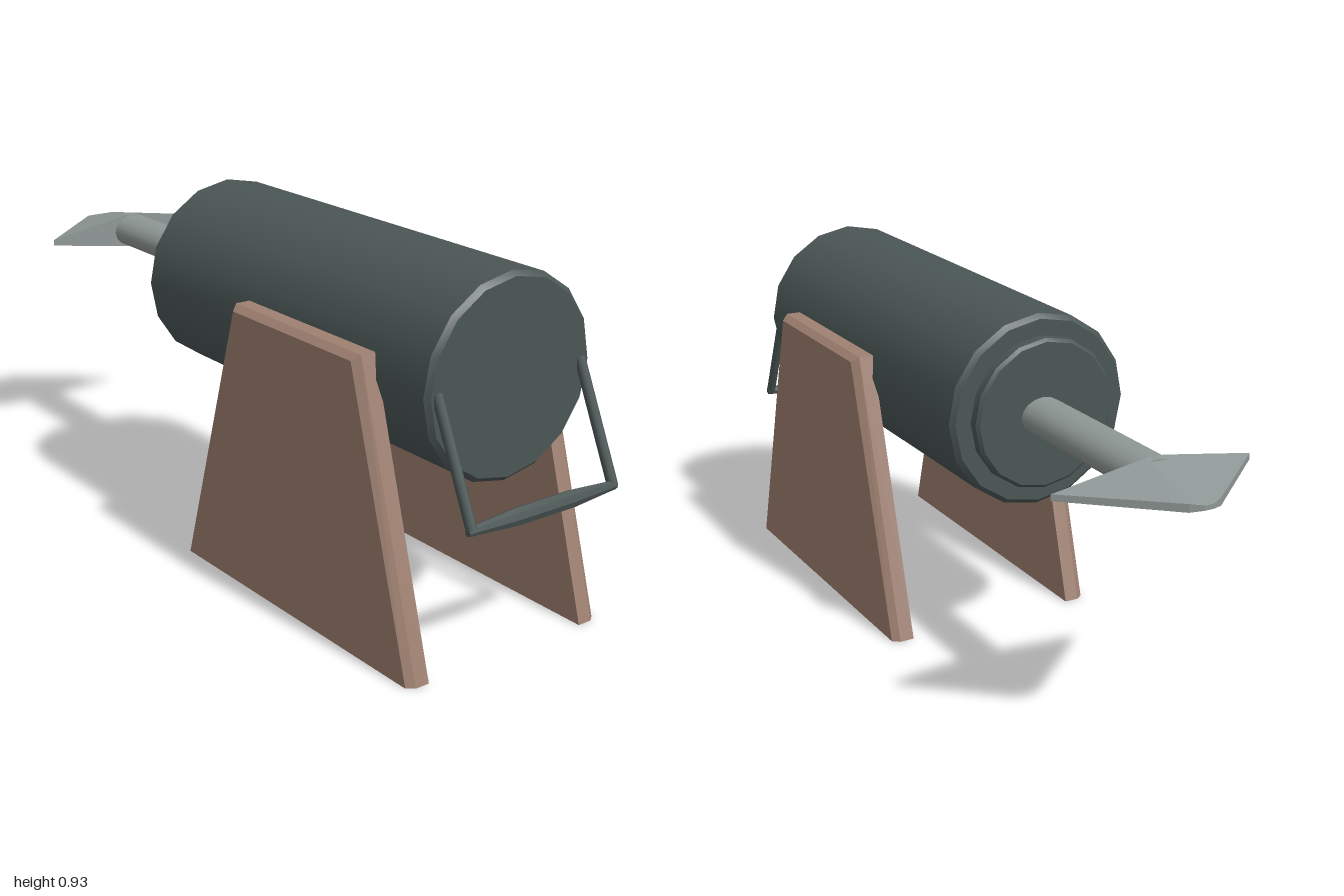
import * as THREE from 'three';
import { toCreasedNormals } from 'three/addons/utils/BufferGeometryUtils.js';
import { ConvexGeometry } from 'three/addons/geometries/ConvexGeometry.js';

const AXIS_Y = 0.677;

export function createModel() {
  const model = new THREE.Group();
  model.name = 'harpoonCannon';

  const material = (name, color) => {
    const m = new THREE.MeshStandardMaterial({ color });
    m.name = name;
    return m;
  };
  const darkIron = material('darkIron', 0x4a5655);
  const steel = material('steel', 0x8f9896);
  const wood = material('wood', 0x9e8071);

  const add = (name, geometry, mat, parent = model) => {
    const mesh = new THREE.Mesh(geometry, mat);
    mesh.name = name;
    parent.add(mesh);
    return mesh;
  };
  const hull = (points) => new ConvexGeometry(points.map((p) => new THREE.Vector3(...p)));
  // Turned part from [radius, position along its axis] pairs
  const turned = (profile, sides) => toCreasedNormals(
    new THREE.LatheGeometry(profile.map((p) => new THREE.Vector2(...p)), sides), 0.6);

  // Barrel with chamfered ends and a raised muzzle disc
  const barrel = turned([
    [0, -0.31], [0.187, -0.31], [0.195, -0.302], [0.195, -0.278],
    [0.237, -0.278], [0.249, -0.266], [0.249, 0.848], [0.237, 0.86], [0, 0.86],
  ], 16).rotateZ(-Math.PI / 2);
  add('barrel', barrel, darkIron).position.y = AXIS_Y;

  // Harpoon: oval shaft and a flat, two-barbed head
  const harpoon = new THREE.Group();
  harpoon.name = 'harpoon';
  harpoon.position.set(0, AXIS_Y, -0.01);
  model.add(harpoon);
  const shaft = new THREE.CylinderGeometry(1, 1, 0.52, 16)
    .rotateZ(Math.PI / 2).scale(1, 0.047, 0.06).translate(-0.55, 0, 0);
  add('shaft', shaft, steel, harpoon);
  const head = [];
  for (const s of [-1, 1]) {
    for (const t of [-1, 1]) {
      head.push([-1, s * 0.006, t * 0.012], [-0.985, s * 0.01, t * 0.042]);
      head.push([-0.79, s * 0.008, t * 0.267], [-0.79, s * 0.047, t * 0.025]);
    }
  }
  add('barbedHead', hull(head), steel, harpoon);

  // Side supports: trapezoid boards with a bevelled outer rim
  const board = (side) => {
    const points = [];
    const outline = (z, inset) => points.push(
      [-0.035 + inset, 0, z * side], [0.885 - inset, 0, z * side],
      [0.67 - inset, 0.735 - inset, z * side], [0.18 + inset, 0.735 - inset, z * side]);
    outline(0.239, 0);
    outline(0.278, 0);
    outline(0.297, 0.014);
    return hull(points);
  };
  add('leftSupport', board(-1), wood);
  add('rightSupport', board(1), wood);

  // Hinged handle: two sloping arms and a swollen cross grip
  const handle = new THREE.Group();
  handle.name = 'handle';
  model.add(handle);
  const top = new THREE.Vector3(0.855, 0.685, 0);
  const bottom = new THREE.Vector3(0.982, 0.408, 0);
  const slope = bottom.clone().sub(top);
  for (const side of [-1, 1]) {
    const arm = add('handleArm', new THREE.CylinderGeometry(0.013, 0.013, slope.length(), 8), darkIron, handle);
    arm.position.copy(top).add(bottom).multiplyScalar(0.5).setZ(side * 0.216);
    arm.quaternion.setFromUnitVectors(new THREE.Vector3(0, -1, 0), slope.clone().normalize());
  }
  const grip = turned([
    [0, -0.227], [0.010, -0.227], [0.012, -0.22], [0.013, -0.2], [0.022, -0.085],
    [0.022, 0.085], [0.013, 0.2], [0.012, 0.22], [0.010, 0.227], [0, 0.227],
  ], 8).rotateX(Math.PI / 2).scale(0.85, 1, 1);
  add('grip', grip, darkIron, handle).position.set(0.981, 0.407, 0);

  return model;
}
